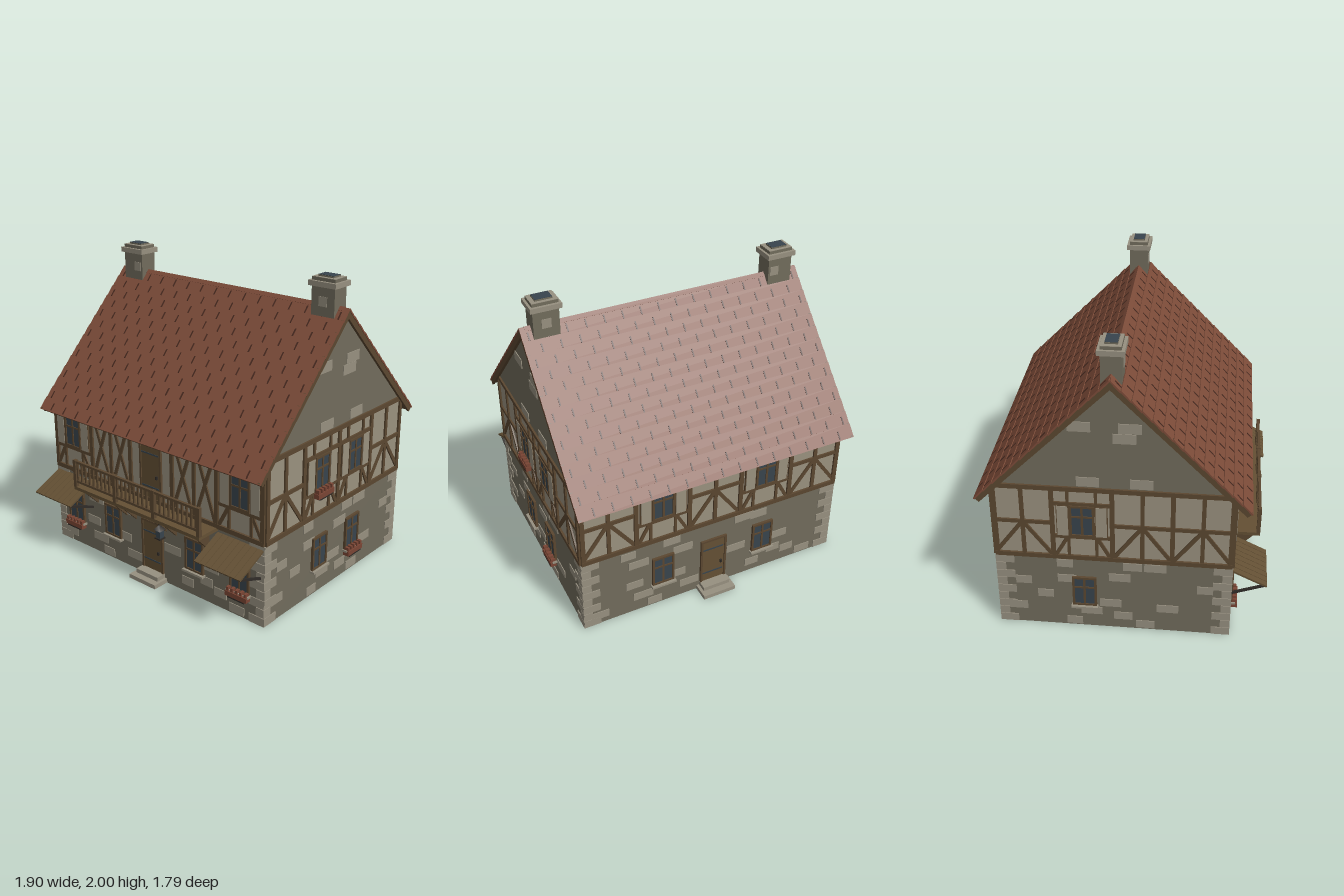
import * as THREE from 'three';
import { mergeGeometries } from 'three/addons/utils/BufferGeometryUtils.js';

const mat = (name, color, double) => {
  const m = new THREE.MeshStandardMaterial({ color });
  m.name = name;
  if (double) m.side = THREE.DoubleSide;
  return m;
};

export function createModel() {
  const stone = mat('stone', 0x716c5c, true);
  const pale = mat('paleStone', 0x979080);
  const plaster = mat('plaster', 0x9a917f, true);
  const timber = mat('timber', 0x5b4730);
  const plank = mat('plank', 0x645034);
  const tile = mat('roofTile', 0x7d4c39);
  const joint = mat('tileJoint', 0x46291f);
  const glass = mat('glass', 0x38444d);
  const iron = mat('iron', 0x302c28);
  const clay = mat('clay', 0x7a4534);

  const add = (parent, name, geo, m, x = 0, y = 0, z = 0) => {
    const mesh = new THREE.Mesh(geo, m);
    mesh.name = name;
    mesh.position.set(x, y, z);
    parent.add(mesh);
    return mesh;
  };
  const box = (parent, name, m, w, h, d, x, y, z) =>
    add(parent, name, new THREE.BoxGeometry(w, h, d), m, x, y, z);
  const group = (parent, name) => {
    const g = new THREE.Group();
    g.name = name;
    parent.add(g);
    return g;
  };

  const model = group(new THREE.Group(), 'house');
  model.removeFromParent();
  const house = group(model, 'building');
  house.position.set(-0.0075, 0, -0.0525);
  const HX = 0.9075, HZ = 0.7275, P = 0.363;

  // Wall parts: x runs along the wall, y up, z outward
  const beam = (w, x0, y0, x1, y1, t = 0.025, d = 0.022) => {
    const b = box(w, 'timberBeam', timber, Math.hypot(x1 - x0, y1 - y0), t, d, (x0 + x1) / 2, (y0 + y1) / 2, 0);
    b.rotation.z = Math.atan2(y1 - y0, x1 - x0);
  };

  const windowAt = (w, x, y, shutters) => {
    const g = group(w, 'window');
    g.position.set(x, y, 0);
    box(g, 'glass', glass, 0.14, 0.21, 0.02, 0, 0, 0);
    for (const s of [-1, 1]) {
      box(g, 'sideFrame', timber, 0.014, 0.225, 0.034, s * 0.069, 0, 0);
      box(g, 'headAndSill', timber, 0.152, 0.014, 0.034, 0, s * 0.106, 0);
      if (shutters) {
        box(g, 'shutterEdge', timber, 0.076, 0.228, 0.026, s * 0.117, 0, 0);
        box(g, 'shutter', plaster, 0.066, 0.216, 0.032, s * 0.117, 0, 0);
      }
    }
    box(g, 'mullion', timber, 0.014, 0.21, 0.03, 0, 0, 0);
    box(g, 'transom', timber, 0.14, 0.012, 0.03, 0, 0.032, 0);
    if (!shutters) box(g, 'sill', pale, 0.17, 0.014, 0.05, 0, -0.118, 0.01);
  };

  const doorAt = (w, x, y0, h) => {
    const g = group(w, 'door');
    g.position.set(x, y0, 0);
    box(g, 'doorLeaf', plank, 0.17, h, 0.016, 0, h / 2, 0);
    for (const s of [-1, 1]) box(g, 'doorPost', timber, 0.014, h, 0.03, s * 0.086, h / 2, 0);
    box(g, 'doorHead', timber, 0.186, 0.014, 0.03, 0, h, 0);
    for (const f of [0.2, 0.78]) box(g, 'hinge', glass, 0.15, 0.01, 0.022, -0.005, h * f, 0);
    box(g, 'handle', iron, 0.012, 0.022, 0.04, 0.055, h * 0.4, 0);
  };

  const flowerBox = (w, x, y) => {
    const g = group(w, 'flowerBox');
    g.position.set(x, y, 0.028);
    box(g, 'trough', clay, 0.165, 0.032, 0.04, 0, 0, 0);
    box(g, 'bracket', iron, 0.13, 0.01, 0.04, 0, -0.02, 0);
    for (let i = -2; i <= 2; i++) box(g, 'flower', clay, 0.018, 0.026, 0.03, i * 0.034, 0.028, 0);
  };

  // One timber-framed bay of the upper storey
  const bay = (w, x, type) => {
    const l = x - P / 2, r = x + P / 2;
    if (type === 'window') {
      beam(w, l, 0.955, r, 0.955);
      beam(w, l, 0.715, r, 0.715);
      for (const s of [-1, 1]) {
        beam(w, x + s * 0.085, 0.955, x + s * 0.085, 1.05, 0.018);
        beam(w, x + s * 0.085, 0.57, x + s * 0.085, 0.715, 0.018);
        beam(w, x + s * 0.165, 0.57, x + s * 0.09, 0.71, 0.022, 0.02);
      }
      windowAt(w, x, 0.835, true);
    } else if (type === 'brace') {
      beam(w, x, 0.56, x, 1.05);
      beam(w, l, 0.81, r, 0.81);
      for (const s of [-1, 1]) beam(w, x, 0.81, x + s * 0.17, 0.575, 0.024, 0.02);
    } else if (type === 'cross') {
      beam(w, x, 0.56, x, 1.03);
      for (const c of [x - P / 4, x + P / 4])
        for (const s of [-1, 1]) beam(w, c - s * 0.08, 0.57, c + s * 0.08, 1.03, 0.022, 0.02);
    } else doorAt(w, x, 0.57, 0.39);
  };

  const makeWall = (name, half, dist, turn, bays, blocks, top) => {
    const w = group(house, name);
    w.rotation.y = turn;
    w.position.set(Math.sin(turn) * dist, 0, Math.cos(turn) * dist);
    add(w, 'stoneWall', new THREE.PlaneGeometry(half * 2, 0.55), stone, 0, 0.275, 0);
    add(w, 'plasterWall', new THREE.PlaneGeometry(half * 2, top - 0.55), plaster, 0, (top + 0.55) / 2, 0);
    beam(w, -half, 0.557, half, 0.557, 0.03, 0.028);
    beam(w, -half + 0.01, top - 0.015, half - 0.01, top - 0.015, 0.03, 0.028);
    for (let i = 0; i <= bays.length; i++) {
      const x = THREE.MathUtils.clamp(-half + i * P, -half + 0.013, half - 0.013);
      beam(w, x, 0.55, x, top - 0.02, 0.028, 0.025);
    }
    bays.forEach((t, i) => bay(w, -half + (i + 0.5) * P, t));
    // Corner stones and scattered pale stones
    for (let i = 0; i < 9; i++) for (const s of [-1, 1]) {
      const q = i % 2 ? 0.06 : 0.115;
      box(w, 'cornerStone', pale, q, 0.056, 0.012, s * (half - q / 2 + 0.004), 0.03 + i * 0.06, 0);
    }
    blocks.forEach(([x, y], i) => box(w, 'paleStone', pale, 0.1 + (i % 3) * 0.018, 0.058, 0.01, x, y, 0));
    return w;
  };

  const longBlocks = [[-0.6, 0.49], [-0.3, 0.5], [-0.22, 0.41], [-0.25, 0.21], [-0.56, 0.23], [-0.5, 0.12],
    [-0.42, 0.04], [-0.8, 0.07], [-0.17, 0.1], [0.3, 0.08], [0.5, 0.25], [0.22, 0.5], [0.46, 0.14],
    [0.7, 0.04], [0.17, 0.26], [0.57, 0.1], [0.33, 0.49], [-0.53, 0.4]];
  const sideBlocks = [[-0.3, 0.5], [0.12, 0.5], [0.26, 0.5], [-0.565, 0.35], [-0.29, 0.38], [0.04, 0.41],
    [-0.43, 0.25], [-0.61, 0.14], [-0.14, 0.13], [-0.25, 0.04], [0.06, 0.1], [0.34, 0.18], [0.57, 0.35],
    [0.2, 0.04], [-0.02, 0.2]];
  const front = makeWall('frontWall', HX, HZ, 0, ['window', 'cross', 'door', 'cross', 'window'], longBlocks, 1.045);
  const back = makeWall('backWall', HX, HZ, Math.PI, ['brace', 'window', 'brace', 'window', 'brace'], longBlocks, 1.045);
  const left = makeWall('leftWall', HZ, HX, Math.PI / 2, ['brace', 'window', 'window', 'brace'], sideBlocks, 1.08);
  const right = makeWall('rightWall', HZ, HX, -Math.PI / 2, ['brace', 'window', 'brace', 'brace'], sideBlocks, 1.08);

  // Ground floor openings
  for (const x of [-2 * P, -P, P, 2 * P]) windowAt(front, x, 0.29, false);
  for (const x of [-P, P]) windowAt(back, x, 0.29, false);
  for (const x of [-P / 2, P / 2]) windowAt(left, x, 0.29, false);
  windowAt(right, -P / 2, 0.29, false);
  for (const w of [front, back]) {
    doorAt(w, 0, 0.055, 0.345);
    box(w, 'lowerStep', pale, 0.23, 0.028, 0.115, 0, 0.014, 0.0575);
    box(w, 'upperStep', pale, 0.19, 0.028, 0.07, 0, 0.042, 0.035);
  }
  flowerBox(front, -2 * P, 0.158);
  flowerBox(front, 2 * P, 0.158);
  flowerBox(left, P / 2, 0.158);
  flowerBox(left, -P / 2, 0.698);

  // Gables
  const tri = new THREE.Shape([[-0.72, 1.07], [0.72, 1.07], [0, 1.785]].map(p => new THREE.Vector2(...p)));
  for (const w of [left, right]) {
    add(w, 'gable', new THREE.ShapeGeometry(tri), stone, 0, 0, 0.001);
    for (const [x, y] of [[-0.185, 1.495], [0.107, 1.495], [0.075, 1.427], [-0.143, 1.12], [0.175, 1.12]])
      box(w, 'gableStone', pale, 0.135, 0.064, 0.012, x, y, 0);
  }

  // Balcony
  const balcony = group(front, 'balcony');
  box(balcony, 'balconyFloor', plank, 1.1, 0.022, 0.172, 0, 0.535, 0.086);
  for (const y of [0.585, 0.722]) box(balcony, 'rail', timber, 1.08, 0.016, 0.018, 0, y, 0.16);
  for (const x of [-0.54, -0.17, 0.17, 0.54]) box(balcony, 'railPost', timber, 0.024, 0.19, 0.024, x, 0.638, 0.16);
  for (let i = -14; i <= 14; i++)
    if (Math.abs(Math.abs(i) - 4.6) > 0.5) box(balcony, 'baluster', timber, 0.011, 0.14, 0.011, i * 0.037, 0.653, 0.16);
  const brace = new THREE.Shape([[0, 0.37], [0.15, 0.525], [0, 0.525]].map(p => new THREE.Vector2(...p)));
  const braceGeo = new THREE.ExtrudeGeometry(brace, { depth: 0.02, bevelEnabled: false });
  for (const x of [-0.495, -0.222, -0.137, 0.132, 0.22, 0.49])
    add(balcony, 'balconyBracket', braceGeo, timber, x - 0.01, 0, 0).rotation.y = -Math.PI / 2;

  // Sloping plank awnings on struts
  for (const s of [-1, 1]) {
    const a = group(front, 'awning');
    a.position.x = s * 2 * P;
    for (let i = 0; i < 8; i++)
      box(a, 'awningPlank', plank, 0.0405, 0.012, 0.24, (i - 3.5) * 0.0445, 0.46, 0.108).rotation.x = 0.45;
    for (const e of [-1, 1])
      box(a, 'awningStrut', iron, 0.014, 0.014, 0.215, e * 0.155, 0.362, 0.1).rotation.x = -0.36;
  }

  // Lantern
  const lantern = group(front, 'lantern');
  lantern.position.set(0.158, 0, 0.1);
  box(lantern, 'lanternArm', iron, 0.01, 0.01, 0.11, 0, 0.475, -0.045);
  box(lantern, 'lanternGlass', glass, 0.036, 0.055, 0.036, 0, 0.41, 0);
  box(lantern, 'lanternBase', iron, 0.048, 0.01, 0.048, 0, 0.38, 0);
  add(lantern, 'lanternHood', new THREE.ConeGeometry(0.04, 0.035, 4).rotateY(Math.PI / 4), iron, 0, 0.455, 0);

  // Roof: deck, overlapping tile courses, joints and bargeboards
  const L = 1.167, N = 14, step = L / N;
  for (const s of [1, -1]) {
    const side = group(house, s > 0 ? 'frontRoof' : 'backRoof');
    side.rotation.y = s > 0 ? 0 : Math.PI;
    const slope = group(side, 'roofSlope');
    slope.position.y = 1.805;
    slope.rotation.x = Math.atan2(0.83, 0.82);
    box(slope, 'roofDeck', timber, 1.86, 0.026, L, 0, -0.014, L / 2);
    for (const e of [-1, 1]) box(slope, 'bargeboard', timber, 0.016, 0.042, L, e * 0.93, -0.014, L / 2);
    const courses = [], joints = [];
    for (let i = 0; i < N; i++) {
      const z = (i + 0.5) * step;
      courses.push(new THREE.BoxGeometry(1.885, 0.01, step + 0.008).rotateX(0.06).translate(0, 0.004, z));
      for (let x = -0.9 + (i % 2) * 0.06; x < 0.93; x += 0.12)
        joints.push(new THREE.BoxGeometry(0.009, 0.012, step * 0.62).rotateX(0.06).translate(x, 0.005, z + step * 0.12));
    }
    add(slope, 'tileCourses', mergeGeometries(courses), tile);
    add(slope, 'tileJoints', mergeGeometries(joints), joint);
  }
  box(house, 'ridgeTiles', tile, 1.82, 0.03, 0.03, 0, 1.801, 0).rotation.x = Math.PI / 4;

  // Chimneys
  for (const s of [-1, 1]) {
    const c = group(house, 'chimney');
    c.position.x = s * 0.79;
    box(c, 'chimneyStack', stone, 0.165, 0.3, 0.12, 0, 1.8, 0);
    box(c, 'chimneyCap', pale, 0.197, 0.032, 0.157, 0, 1.95, 0);
    box(c, 'chimneyCollar', stone, 0.165, 0.022, 0.12, 0, 1.975, 0);
    box(c, 'chimneyRim', pale, 0.163, 0.004, 0.118, 0, 1.986, 0);
    box(c, 'chimneyPot', stone, 0.108, 0.014, 0.075, 0, 1.991, 0);
    box(c, 'chimneyMouth', glass, 0.106, 0.003, 0.073, 0, 1.9985, 0);
    box(c, 'chimneyStone', pale, 0.06, 0.06, 0.126, s * -0.02 + 0.02, 1.845, 0);
  }
  return model;
}
